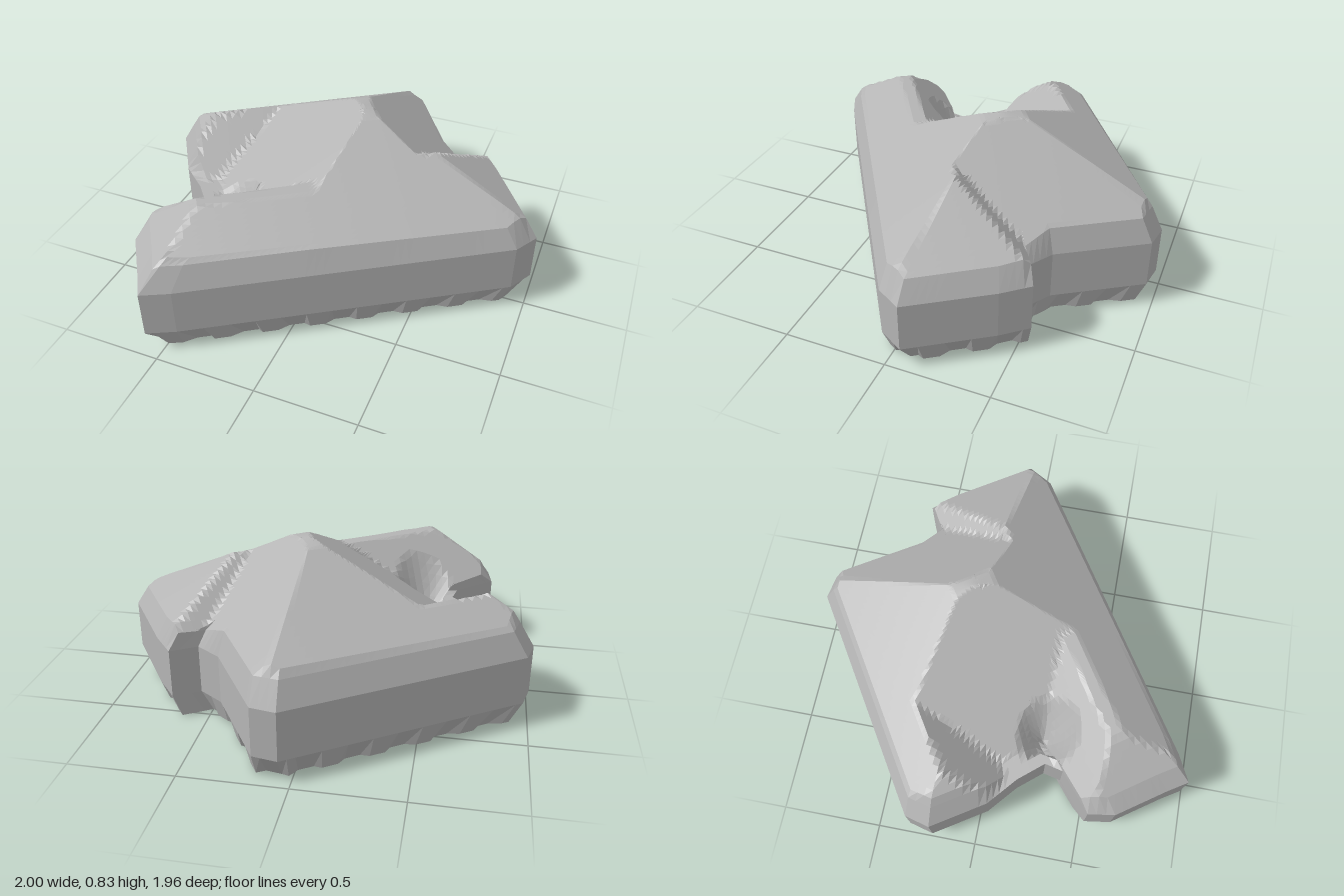
import * as THREE from 'three';

// Plan outline, clockwise seen from above, as [x, z]
const OUTLINE = [
  [0.05, -0.985], [0.17, -0.965], [0.42, -0.57], [0.54, -0.49], [0.66, -0.56], [0.76, -0.44],
  [1.0, -0.08], [0.93, 0.04], [-0.43, 0.91], [-0.56, 0.975], [-0.62, 0.88], [-0.78, 0.65],
  [-0.8, 0.52], [-0.62, 0.37], [-0.6, 0.28], [-0.7, 0.16], [-0.84, 0.04], [-1.0, -0.21], [-0.97, -0.33],
];
const PEAK = [0.05, -0.15];

// Roof height: a hipped centre joined with three low corner wings
function roofHeight(x, z) {
  const f = 0.56 * x + 0.83 * z;   // distance towards the front wall
  const s = 0.84 * x - 0.54 * z;   // distance along the front wall
  const front = 0.51 + 0.66 * (0.44 - f);
  const back = 0.51 + 0.6 * (0.73 + f);
  const top = 0.83 - 0.16 * Math.hypot(x - 0.05, z + 0.18);
  const centre = Math.min(front, back, 0.5 + 0.8 * (0.6 - s), 0.83 - 0.66 * (0.15 - s), top);
  const rightWing = Math.min(front, 0.48 + (f + 0.06), 0.48 + 0.62 * (0.8 - s));
  const frontWing = Math.min(front, 0.48 + (f - 0.04), 0.48 + 0.8 * (0.9 + s), 0.63);
  const leftWing = Math.min(back, 0.48 + 0.9 * (-0.44 - f), 0.5 + 0.8 * (0.68 + s));
  const dent = Math.max(0, 0.15 - Math.hypot(x + 0.46, z - 0.27));
  return Math.max(centre, s > 0 ? rightWing : Math.max(frontWing, leftWing), 0.36) - 1.2 * dent;
}

// Split the outline into short steps
function steps(points, size) {
  return points.flatMap(([x, z], i) => {
    const [u, v] = points[(i + 1) % points.length];
    const n = Math.max(1, Math.round(Math.hypot(u - x, v - z) / size));
    return Array.from({ length: n }, (_, k) => [x + (u - x) * k / n, z + (v - z) * k / n]);
  });
}

// Skin rings from the lowest to the highest
function loft(rings) {
  const out = [];
  const n = rings[0].length;
  for (let r = 0; r + 1 < rings.length; r++) {
    const lo = rings[r], up = rings[r + 1];
    for (let i = 0; i < n; i++) {
      const j = (i + 1) % n;
      out.push(...lo[j], ...lo[i], ...up[i], ...lo[j], ...up[i], ...up[j]);
    }
  }
  const geometry = new THREE.BufferGeometry();
  geometry.setAttribute('position', new THREE.Float32BufferAttribute(out, 3));
  geometry.computeVertexNormals();
  return geometry;
}

export function createModel() {
  const group = new THREE.Group();
  group.name = 'hippedBlock';
  const grey = new THREE.MeshStandardMaterial({ color: 0xb4b4b4, flatShading: true });
  grey.name = 'plain grey';

  const plan = steps(OUTLINE, 0.04);
  // Outline drawn in towards the peak by a fraction, at a given height
  const ring = (inset, height) => plan.map(([x, z], i) => {
    const t = typeof inset === 'function' ? inset(x, z, i) : inset;
    const px = x + (PEAK[0] - x) * t, pz = z + (PEAK[1] - z) * t;
    return [px, typeof height === 'function' ? height(px, pz) : height, pz];
  });
  const add = (name, rings) => {
    const mesh = new THREE.Mesh(loft(rings), grey);
    mesh.name = name;
    group.add(mesh);
  };

  // Underside with an uneven lower bevel, cut back under the side notch
  const notch = (x, z) => Math.max(0, 0.18 - Math.hypot(x + 0.6, z - 0.28));
  const foot = ring((x, z, i) => (i % 6 < 3 ? 0.09 : 0.055) + notch(x, z), 0.005);
  const sill = ring(0, 0.12);
  add('base', [ring(1, 0), foot, sill]);

  // Upright walls
  const wallTop = ring(0, 0.36);
  add('walls', [sill, wallTop]);

  // Bevelled eaves and faceted roof
  const eave = ring(0.07, (x, z) => Math.min(0.48, Math.max(0.36, roofHeight(x, z))));
  const roof = [wallTop, eave];
  for (let k = 1; k <= 28; k++) roof.push(ring(0.07 + 0.93 * k / 28, roofHeight));
  add('roof', roof);
  return group;
}
